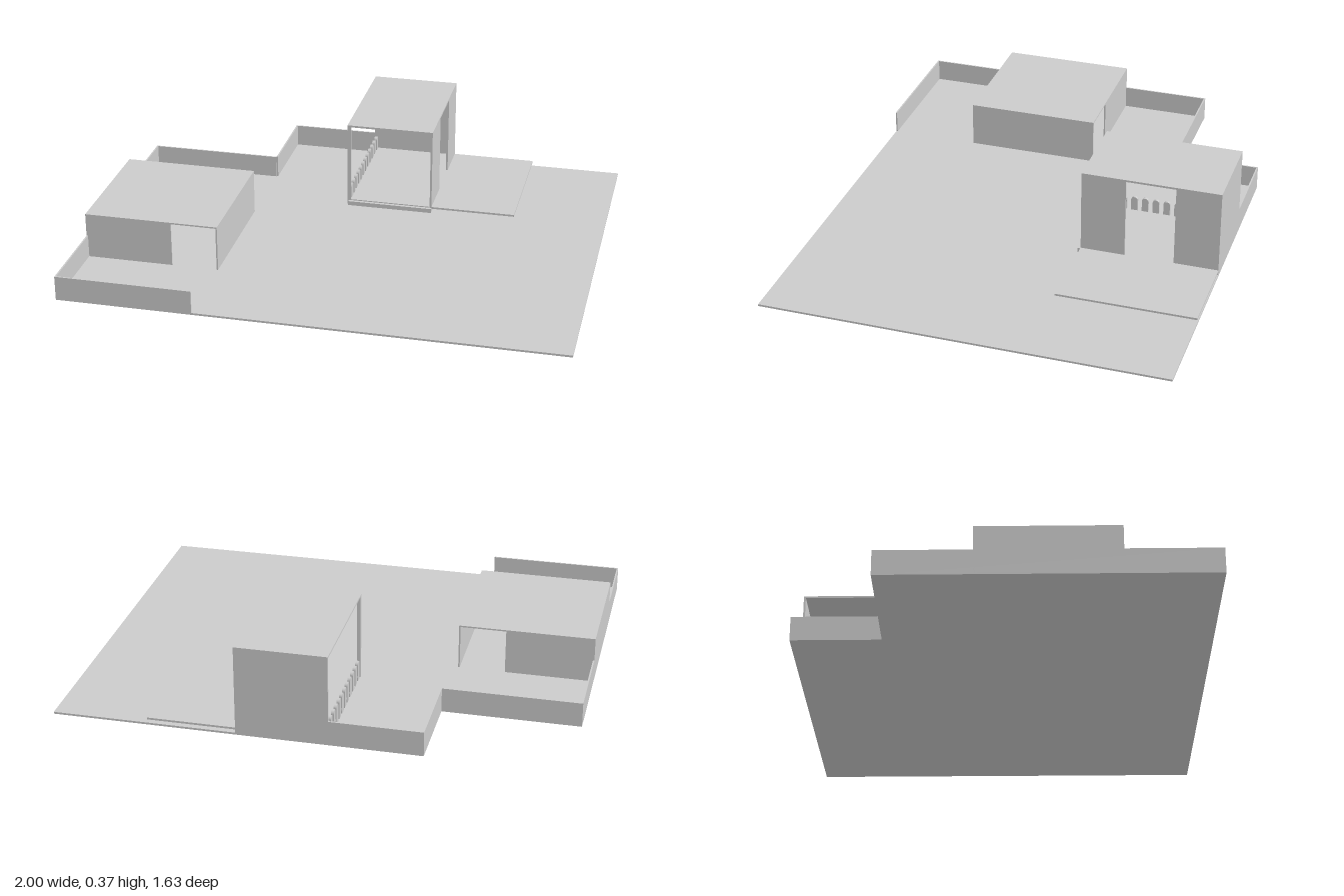
import * as THREE from 'three';

const material = new THREE.MeshStandardMaterial({ color: 0xcccccc, flatShading: true, side: THREE.DoubleSide });

// Adds a box given by its lower and upper bounds on each axis
function block(parent, name, [x0, x1], [y0, y1], [z0, z1]) {
  const mesh = new THREE.Mesh(new THREE.BoxGeometry(x1 - x0, y1 - y0, z1 - z0), material);
  mesh.position.set((x0 + x1) / 2, (y0 + y1) / 2, (z0 + z1) / 2);
  mesh.name = name;
  parent.add(mesh);
  return mesh;
}

function section(parent, name) {
  const group = new THREE.Group();
  group.name = name;
  parent.add(group);
  return group;
}

export function createModel() {
  const model = new THREE.Group();
  model.name = 'courtyard';
  const W = -1, N = -0.455, E = 1;            // x of the outer edge, notch and far edge
  const B = -0.815, NB = -0.46, F = 0.812;    // z of the back, notch and front
  const base = 0.008, t = 0.006;

  // L-shaped ground slab
  const outline = [[W, F], [E, F], [E, B], [N, B], [N, NB], [W, NB]];
  const shape = new THREE.Shape(outline.map(([x, z]) => new THREE.Vector2(x, -z)));
  const ground = new THREE.Mesh(
    new THREE.ExtrudeGeometry(shape, { depth: base, bevelEnabled: false }), material);
  ground.rotation.x = -Math.PI / 2;
  ground.name = 'ground';
  model.add(ground);

  // Low boundary walls around the notched side
  const walls = section(model, 'boundaryWalls');
  const low = [0, 0.1];
  block(walls, 'frontWall', [W, N], low, [F - t, F]);
  block(walls, 'sideWall', [W, W + t], low, [NB, F]);
  block(walls, 'notchBackWall', [W, N], low, [NB, NB + t]);
  block(walls, 'notchSideWall', [N, N + t], low, [B, NB]);
  block(walls, 'backWall', [N, -0.09], low, [B, B + t]);

  // Low shed, with a doorway at both ends
  const shed = section(model, 'shed');
  const sz = [-0.095, 0.45], sh = [0, 0.195];
  block(shed, 'shedRoof', [W, N], [0.189, 0.195], sz);
  block(shed, 'shedOuterWall', [W, W + t], sh, sz);
  block(shed, 'shedInnerWall', [N - t, N], sh, sz);
  block(shed, 'shedFrontWall', [W, -0.645], sh, [sz[1] - t, sz[1]]);
  block(shed, 'shedBackWall', [W, -0.645], sh, [sz[0], sz[0] + t]);

  // Tall pavilion: open front and fence side, a wide gap towards the deck
  const pavilion = section(model, 'pavilion');
  const px = [-0.09, 0.272], ph = [0, 0.37], pf = -0.255, w = 0.008;
  block(pavilion, 'pavilionRoof', px, [0.362, 0.37], [B, pf]);
  block(pavilion, 'pavilionBackWall', px, ph, [B, B + w]);
  block(pavilion, 'deckWallFront', [px[1] - w, px[1]], ph, [-0.435, pf]);
  block(pavilion, 'deckWallBack', [px[1] - w, px[1]], ph, [B, -0.635]);
  block(pavilion, 'cornerPost', [px[0], px[0] + 0.014], ph, [pf - 0.014, pf]);
  block(pavilion, 'threshold', [-0.085, px[1]], [base, 0.026], [pf, -0.242]);

  // Raised thin deck, running through the pavilion
  block(model, 'deck', [-0.085, 0.622], [0.022, 0.03], [B, pf]);

  // Row of round-topped pickets along the open side
  const fence = section(model, 'fence');
  const r = 0.0135, top = 0.09;
  const picket = new THREE.Shape();
  picket.moveTo(-r, base);
  picket.lineTo(r, base);
  picket.lineTo(r, top - r);
  picket.absarc(0, top - r, r, 0, Math.PI, false);
  picket.closePath();
  const picketGeometry = new THREE.ExtrudeGeometry(picket, { depth: 0.012, bevelEnabled: false, curveSegments: 6 });
  for (let i = 0; i < 12; i++) {
    const mesh = new THREE.Mesh(picketGeometry, material);
    mesh.rotation.y = Math.PI / 2;
    mesh.position.set(px[0] + 0.002, 0, -0.29 - i * 0.0455);
    mesh.name = 'picket';
    fence.add(mesh);
  }
  return model;
}
